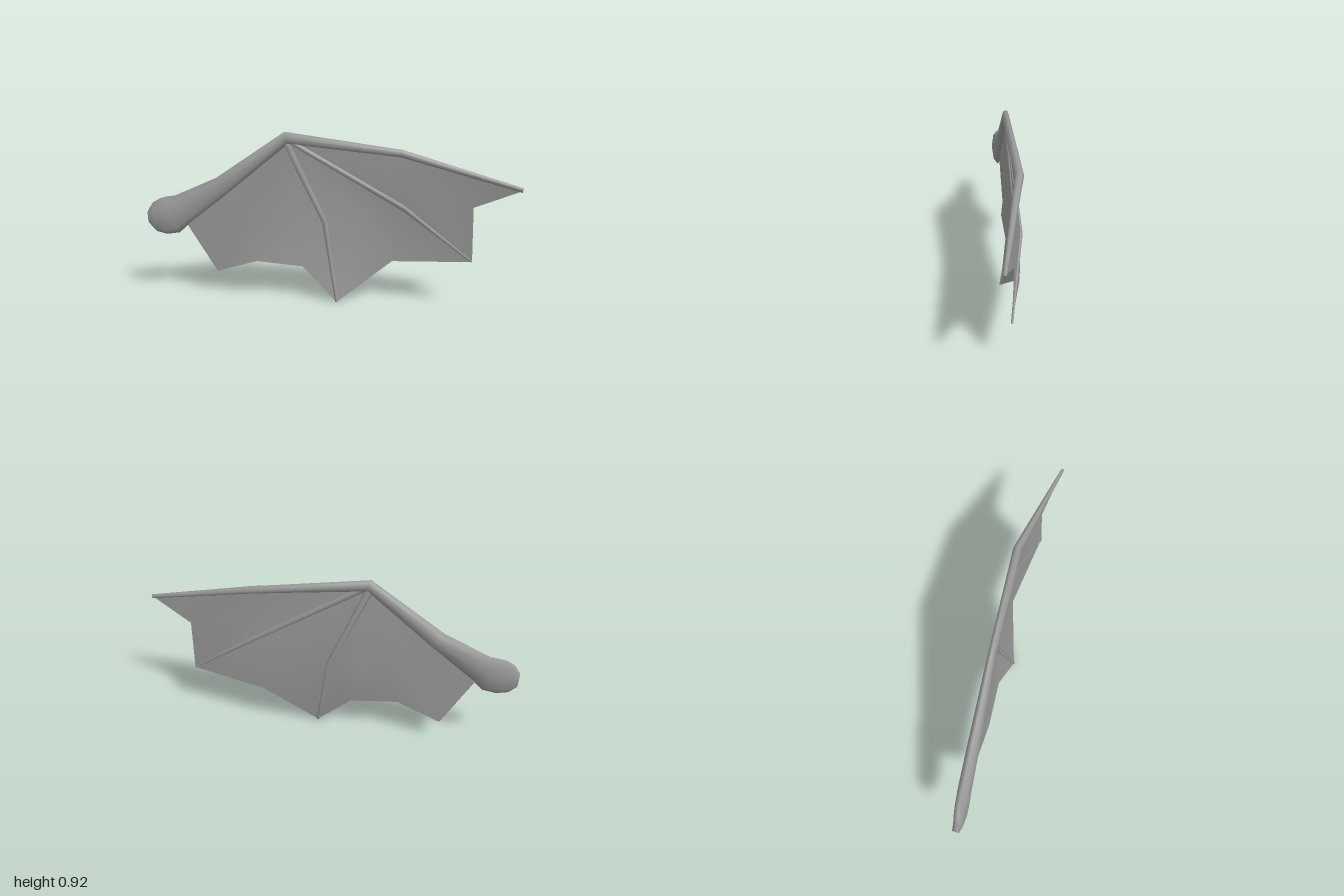
import * as THREE from 'three';

const material = new THREE.MeshStandardMaterial({ color: 0x999999 });
const skin = new THREE.MeshStandardMaterial({ color: 0x999999, side: THREE.DoubleSide });

function mesh(name, positions, indices, mat) {
  const g = new THREE.BufferGeometry();
  g.setAttribute('position', new THREE.Float32BufferAttribute(positions, 3));
  g.setIndex(indices);
  g.computeVertexNormals();
  const m = new THREE.Mesh(g, mat);
  m.name = name;
  return m;
}

// Tapering limb through sections [x, y, z, radius across, radius in depth]
function limb(name, sections, sides) {
  const points = sections.map(s => new THREE.Vector3(s[0], s[1], s[2]));
  const pos = [], idx = [], last = points.length - 1;
  points.forEach((p, i) => {
    const before = p.clone().sub(points[Math.max(i - 1, 0)]).normalize();
    const after = points[Math.min(i + 1, last)].clone().sub(p).normalize();
    const t = before.add(after).normalize();
    const n = new THREE.Vector3(-t.y, t.x, 0).normalize();
    const b = t.clone().cross(n);
    for (let j = 0; j < sides; j++) {
      const a = (j / sides) * Math.PI * 2;
      const v = p.clone().addScaledVector(n, Math.cos(a) * sections[i][3])
        .addScaledVector(b, Math.sin(a) * sections[i][4]);
      pos.push(v.x, v.y, v.z);
    }
  });
  for (let i = 0; i < last; i++) {
    for (let j = 0; j < sides; j++) {
      const a = i * sides + j, b = i * sides + (j + 1) % sides;
      idx.push(a, b, a + sides, b, b + sides, a + sides);
    }
  }
  // End caps
  const start = pos.length / 3, end = last * sides;
  pos.push(...points[0].toArray(), ...points[last].toArray());
  for (let j = 0; j < sides; j++) {
    const k = (j + 1) % sides;
    idx.push(start, k, j, start + 1, end + j, end + k);
  }
  return mesh(name, pos, idx, material);
}

// Skin fanned out from the wrist: middle row, then scalloped outer row
function membrane(wrist, middle, outer) {
  const n = middle.length, idx = [];
  for (let i = 0; i < n - 1; i++) {
    const a = 1 + i, b = a + n;
    idx.push(0, a, a + 1, a, b, a + 1, b, b + 1, a + 1);
  }
  return mesh('wingMembrane', [wrist, ...middle, ...outer].flat(), idx, skin);
}

export function createModel() {
  const wing = new THREE.Group();
  wing.name = 'wing';

  // Shoulder knob, upper arm, wrist and leading finger in one sweep
  wing.add(limb('armAndLeadingFinger', [
    [-0.995, 0.435, 0.072, 0.04, 0.018],
    [-0.96, 0.437, 0.072, 0.082, 0.025],
    [-0.91, 0.442, 0.066, 0.102, 0.033],
    [-0.86, 0.452, 0.059, 0.106, 0.035],
    [-0.8, 0.487, 0.05, 0.084, 0.035],
    [-0.58, 0.62, 0.029, 0.052, 0.031],
    [-0.222, 0.888, -0.002, 0.033, 0.019],
    [0.38, 0.815, -0.077, 0.02, 0.022],
    [0.994, 0.662, -0.021, 0.012, 0.009],
  ], 8));

  // Inner fingers supporting the skin
  wing.add(limb('middleFinger', [
    [-0.2, 0.87, -0.005, 0.014, 0.008],
    [0.4, 0.52, -0.086, 0.015, 0.011],
    [0.762, 0.264, -0.05, 0.005, 0.006],
  ], 6));
  wing.add(limb('lowerFinger', [
    [-0.225, 0.865, -0.003, 0.019, 0.009],
    [-0.027, 0.43, -0.052, 0.015, 0.011],
    [0.057, 0.004, 0.02, 0.008, 0.007],
  ], 6));

  wing.add(membrane([-0.215, 0.88, -0.002], [
    [-0.57, 0.61, 0.027], [-0.46, 0.51, 0.02], [-0.32, 0.48, 0.002], [-0.18, 0.46, -0.027],
    [-0.027, 0.43, -0.052], [0.17, 0.48, -0.077], [0.4, 0.523, -0.086],
    [0.41, 0.68, -0.069], [0.38, 0.815, -0.077],
  ], [
    [-0.8, 0.43, 0.05], [-0.625, 0.13, 0.02], [-0.39, 0.207, 0.027], [-0.14, 0.185, -0.004],
    [0.057, 0.004, 0.02], [0.34, 0.225, -0.084], [0.764, 0.262, -0.05],
    [0.757, 0.552, -0.057], [0.993, 0.66, -0.02],
  ]));

  return wing;
}
